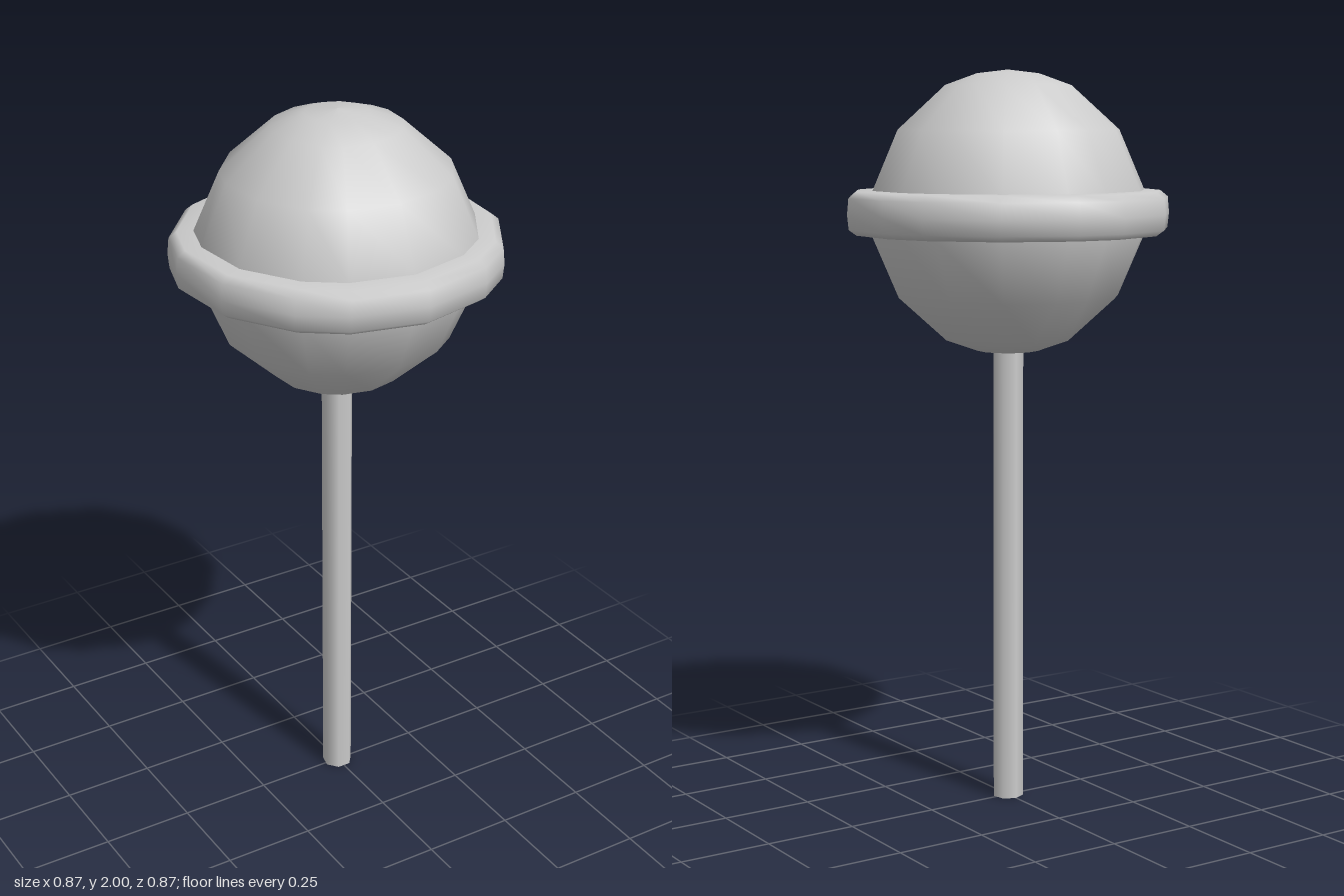
import * as THREE from 'three';

const grey = new THREE.MeshStandardMaterial({ color: 0xcccccc });

// Lathe with 15 sides whose corners repeat five times at uneven steps of 27, 18 and 27 degrees
function candyLathe(name, points) {
  const geo = new THREE.LatheGeometry(points.map(([r, y]) => new THREE.Vector2(r, y)), 15);
  const { position, normal } = geo.attributes;
  const offsets = [0, 27, 45];
  const rows = points.length;
  const axis = new THREE.Vector3(0, 1, 0);
  const v = new THREE.Vector3();
  for (let i = 0; i < position.count; i++) {
    const side = Math.floor(i / rows);
    const angle = 72 * Math.floor(side / 3) + offsets[side % 3];
    const turn = THREE.MathUtils.degToRad(angle - 24 * side);
    for (const attribute of [position, normal]) {
      v.fromBufferAttribute(attribute, i).applyAxisAngle(axis, turn);
      attribute.setXYZ(i, v.x, v.y, v.z);
    }
  }
  const mesh = new THREE.Mesh(geo, grey);
  mesh.name = name;
  return mesh;
}

export function createModel() {
  const model = new THREE.Group();
  model.name = 'lollipop';

  // Round candy, symmetric above and below its middle
  const middle = 1.62;
  const upper = [[0.372, 0.06], [0.302, 0.222], [0.172, 0.339], [0.085, 0.37], [0, 0.38]];
  const lower = upper.map(([r, y]) => [r, -y]).reverse();
  model.add(candyLathe('candyBall', [...lower, ...upper].map(([r, y]) => [r, middle + y])));

  // Bevelled band around the candy
  model.add(candyLathe('candyBand', [
    [0.35, 1.562], [0.415, 1.565], [0.436, 1.58], [0.44, 1.62],
    [0.436, 1.663], [0.415, 1.68], [0.35, 1.683],
  ]));

  // Seven-sided stick with a corner facing the back
  const stickHeight = 1.3;
  const stick = new THREE.Mesh(new THREE.CylinderGeometry(0.042, 0.042, stickHeight, 7), grey);
  stick.name = 'stick';
  stick.position.y = stickHeight / 2;
  stick.rotation.y = Math.PI;
  model.add(stick);

  return model;
}
